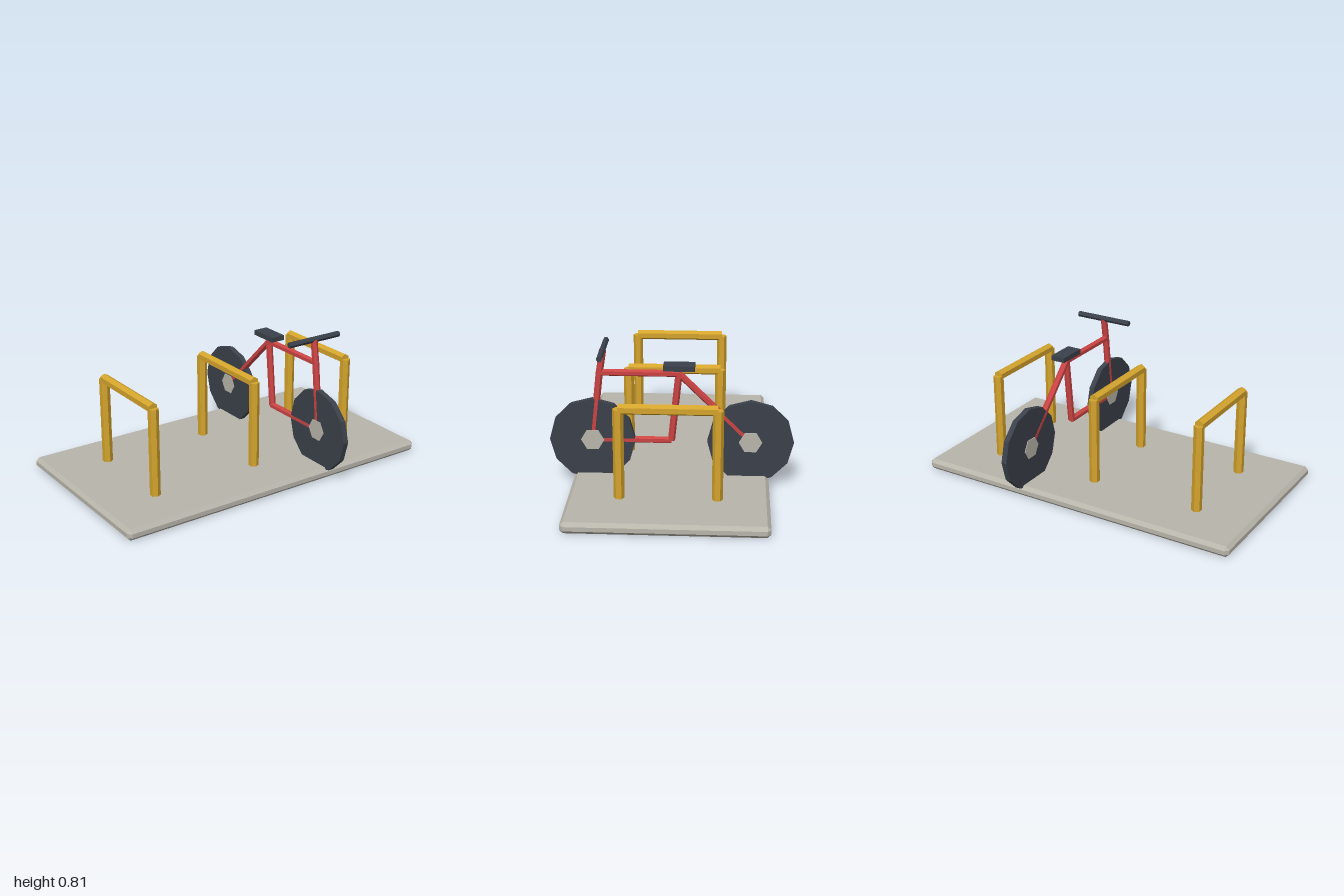
import * as THREE from 'three';
import { ConvexGeometry } from 'three/addons/geometries/ConvexGeometry.js';

const makeMaterial = (name, color) => {
  const m = new THREE.MeshStandardMaterial({ color, flatShading: true });
  m.name = name;
  return m;
};

// Box with a single flat chamfer on every edge, standing on y = 0
function chamferedBox(w, h, d, c) {
  const points = [];
  for (const x of [-1, 1]) for (const y of [-1, 1]) for (const z of [-1, 1]) {
    for (const [a, b, e] of [[0, c, c], [c, 0, c], [c, c, 0]]) {
      points.push(new THREE.Vector3(x * (w / 2 - a), h / 2 + y * (h / 2 - b), z * (d / 2 - e)));
    }
  }
  return new ConvexGeometry(points);
}

export function createModel() {
  const concrete = makeMaterial('concrete grey', 0xb8b5ab);
  const yellow = makeMaterial('rack yellow', 0xd4a42c);
  const red = makeMaterial('frame red', 0xcc4444);
  const dark = makeMaterial('rubber dark', 0x3b414b);

  const add = (parent, name, geometry, material) => {
    const mesh = new THREE.Mesh(geometry, material);
    mesh.name = name;
    parent.add(mesh);
    return mesh;
  };

  // Six-sided tube between two points
  const tube = (parent, name, from, to, radius, material) => {
    const a = new THREE.Vector3(...from);
    const b = new THREE.Vector3(...to);
    const mesh = add(parent, name, new THREE.CylinderGeometry(radius, radius, a.distanceTo(b), 6), material);
    mesh.position.copy(a).add(b).multiplyScalar(0.5);
    mesh.quaternion.setFromUnitVectors(new THREE.Vector3(0, 1, 0), b.sub(a).normalize());
    return mesh;
  };

  const model = new THREE.Group();
  model.name = 'bicycleStand';

  // Paved slab
  add(model, 'slab', chamferedBox(2, 0.065, 1.104, 0.02), concrete);

  // Three hoop racks
  for (const x of [-0.667, 0, 0.667]) {
    const rack = new THREE.Group();
    rack.name = 'rack';
    rack.position.x = x;
    for (const z of [-0.267, 0.267]) tube(rack, 'rackPost', [0, 0.055, z], [0, 0.579, z], 0.03, yellow);
    tube(rack, 'rackTopBar', [0, 0.579, -0.267], [0, 0.579, 0.267], 0.03, yellow);
    model.add(rack);
  }

  // Parked bicycle
  const bicycle = new THREE.Group();
  bicycle.name = 'bicycle';
  bicycle.position.x = 0.333;
  model.add(bicycle);

  // Solid wheels with hexagonal hubs
  for (const [name, z] of [['front', 0.445], ['rear', -0.445]]) {
    const wheel = add(bicycle, name + 'Wheel', new THREE.CylinderGeometry(0.243, 0.243, 0.033, 12), dark);
    const hub = add(bicycle, name + 'Hub', new THREE.CylinderGeometry(0.066, 0.066, 0.041, 6), concrete);
    for (const part of [wheel, hub]) {
      part.rotation.z = Math.PI / 2;
      part.position.set(0, 0.27, z);
    }
  }

  // Frame tubes as [name, y and z of start, y and z of end]
  const frame = [
    ['lowerTube', 0.27, 0.445, 0.27, 0],
    ['seatTube', 0.27, 0, 0.67, -0.042],
    ['topTube', 0.667, 0.4, 0.667, -0.042],
    ['rearStay', 0.667, -0.042, 0.27, -0.445],
    ['fork', 0.27, 0.445, 0.67, 0.4],
    ['stem', 0.667, 0.4, 0.8, 0.379],
  ];
  for (const [name, y1, z1, y2, z2] of frame) {
    tube(bicycle, name, [0, y1, z1], [0, y2, z2], 0.02, red);
  }

  // Handlebar and saddle
  tube(bicycle, 'handlebar', [-0.178, 0.8, 0.379], [0.178, 0.8, 0.379], 0.017, dark);
  add(bicycle, 'saddle', new THREE.BoxGeometry(0.087, 0.03, 0.174), dark).position.set(0, 0.707, -0.043);

  return model;
}
